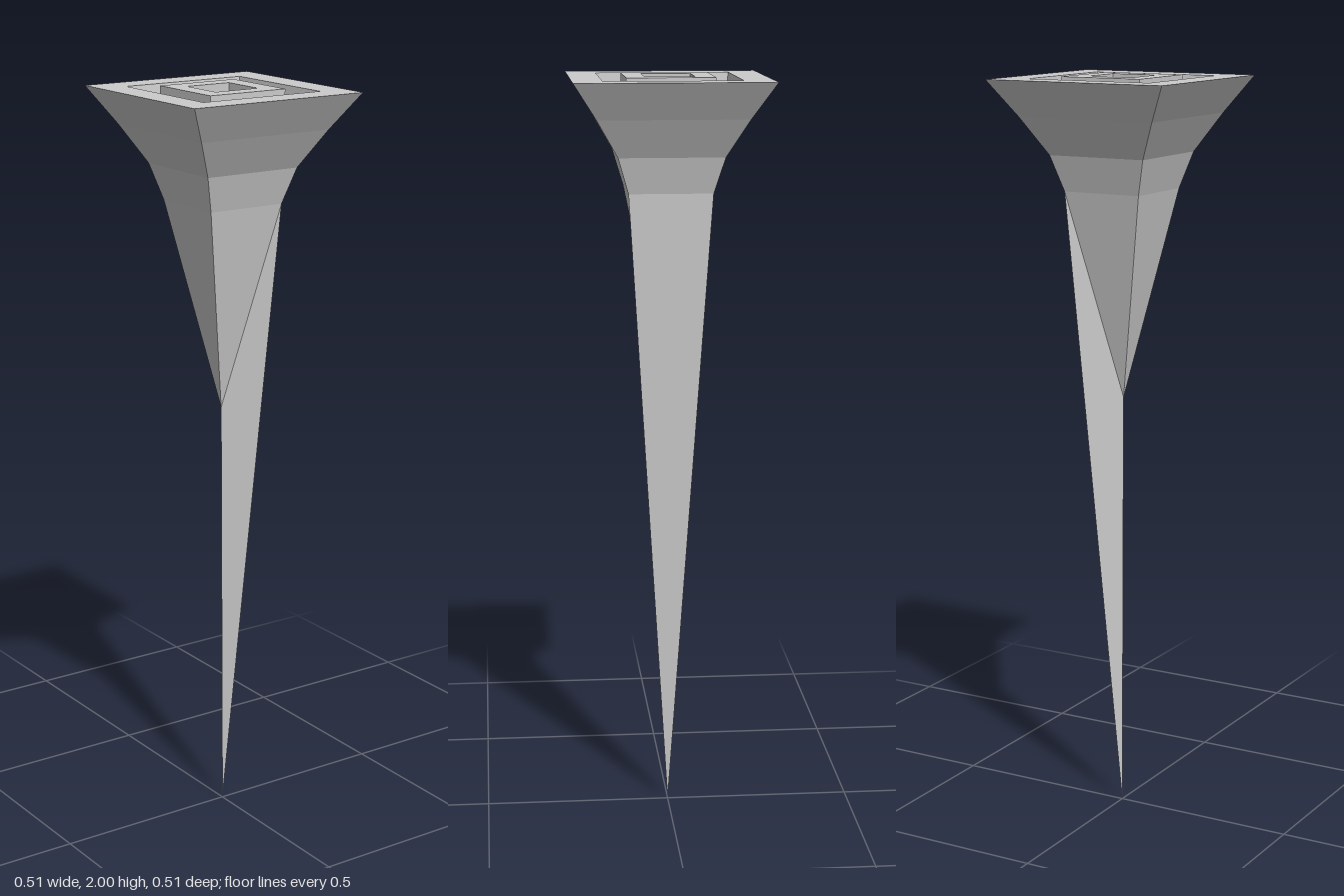
import * as THREE from 'three';

const material = new THREE.MeshStandardMaterial({ color: 0xcccccc, flatShading: true });

// Corners of a square at a given half-width and height, starting front left
const square = ([h, y]) => [[-h, y, h], [h, y, h], [h, y, -h], [-h, y, -h]];

function meshFrom(name, triangles) {
  const geometry = new THREE.BufferGeometry();
  geometry.setAttribute('position', new THREE.Float32BufferAttribute(triangles.flat(2), 3));
  geometry.computeVertexNormals();
  const mesh = new THREE.Mesh(geometry, material);
  mesh.name = name;
  return mesh;
}

// Skin a run of square sections, given as [halfWidth, y]
function squareLoft(name, sections) {
  const rings = sections.map(square);
  const triangles = [];
  for (let r = 0; r < rings.length - 1; r++) {
    for (let i = 0; i < 4; i++) {
      const j = (i + 1) % 4;
      const a = rings[r][i], b = rings[r][j], c = rings[r + 1][j], d = rings[r + 1][i];
      triangles.push([a, b, c], [a, c, d]);
    }
  }
  return meshFrom(name, triangles);
}

export function createModel() {
  const model = new THREE.Group();
  model.name = 'squareSpike';

  // Flared head
  model.add(squareLoft('flaredHead', [
    [0.11, 1.705], [0.138, 1.8], [0.195, 1.9], [0.256, 1.996],
  ]));

  // Flat rim and the sunken channel inside it
  model.add(squareLoft('rimAndChannel', [
    [0.256, 1.996], [0.178, 1.996], [0.174, 1.966], [0.115, 1.97],
  ]));

  // Raised square collar with a square socket
  model.add(squareLoft('collarAndSocket', [
    [0.115, 1.97], [0.115, 2], [0.065, 2], [0.065, 1.97], [0, 1.97],
  ]));

  // Shaft: three sides stop at a short apex, the +x side runs down to the tip
  const ring = square([0.11, 1.705]);
  const apex = [-0.004, 1.15, 0], tip = [0, 0, 0];
  const sides = ring.map((p, i) => [p, i === 1 ? tip : apex, ring[(i + 1) % 4]]);
  // Two slanted webs join the short apex to the long side
  const webs = [[ring[1], apex, tip], [ring[2], tip, apex]];
  model.add(meshFrom('taperedShaft', [...sides, ...webs]));

  return model;
}
